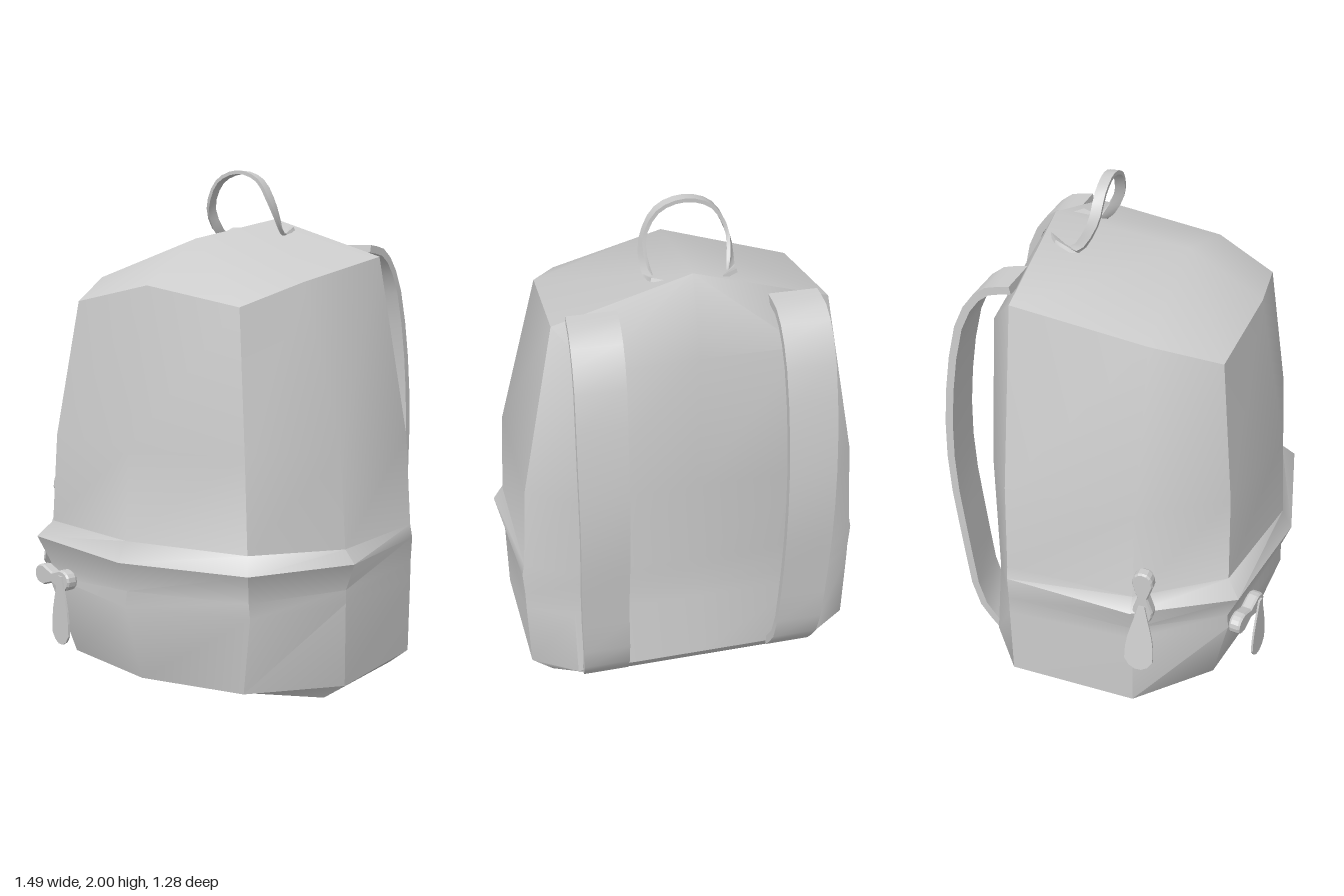
import * as THREE from 'three';
import { toCreasedNormals } from 'three/addons/utils/BufferGeometryUtils.js';

const V = (x, y, z) => new THREE.Vector3(x, y, z);
const material = new THREE.MeshStandardMaterial({ color: 0xcccccc, side: THREE.DoubleSide });
const CENTRE = 0.02; // the bag body sits slightly to its own left

function mesh(name, geometry) {
  const m = new THREE.Mesh(geometry, material);
  m.name = name;
  return m;
}

// Collects triangles from quads and skips collapsed ones
function quadBuilder() {
  const pos = [];
  const tri = (a, b, c) => {
    const area = b.clone().sub(a).cross(c.clone().sub(a)).length();
    if (area > 1e-7) for (const p of [a, b, c]) pos.push(p.x, p.y, p.z);
  };
  return {
    quad(a, b, c, d) { tri(a, b, c); tri(a, c, d); },
    build(crease) {
      const g = new THREE.BufferGeometry();
      g.setAttribute('position', new THREE.Float32BufferAttribute(pos, 3));
      return toCreasedNormals(g, crease);
    }
  };
}

// Edge lines of one half, bottom to top, lofted from front centre round to back centre
function bodyGeometry() {
  const frontCentre = [[0.045, 0.34], [0.085, 0.51], [0.38, 0.6], [0.44, 0.59],
    [0.555, 0.635], [0.63, 0.595], [0.97, 0.575], [1.56, 0.465]].map(([y, z]) => V(0, y, z));
  const frontCorner = [[0.36, 0.05, 0.32], [0.42, 0.09, 0.43], [0.5, 0.4, 0.5], [0.49, 0.455, 0.495],
    [0.52, 0.565, 0.54], [0.48, 0.625, 0.49], [0.46, 0.97, 0.48], [0.39, 1.49, 0.42]].map(p => V(...p));
  const sideMid = [[0.6, 0.045], [0.69, 0.11], [0.69, 0.42], [0.69, 0.47],
    [0.725, 0.57], [0.685, 0.62], [0.66, 0.97], [0.495, 1.575]].map(([x, y]) => V(x, y, 0.175));
  const sideBack = [[0.58, 0.045], [0.66, 0.11], [0.665, 0.4], [0.665, 0.47],
    [0.67, 0.57], [0.66, 0.62], [0.635, 0.97], [0.5, 1.66]].map(([x, y]) => V(x, y, -0.335));
  const backEdge = [[0.42, 0.06, -0.41], [0.49, 0.14, -0.47], [0.49, 0.42, -0.445], [0.49, 0.48, -0.44],
    [0.49, 0.57, -0.44], [0.49, 0.62, -0.44], [0.48, 0.97, -0.445], [0.38, 1.53, -0.45]].map(p => V(...p));
  const backCentre = backEdge.map(p => V(0, p.y, p.z));

  // Close each edge line onto the keel below and the roof ridge above
  const columns = [frontCentre, frontCorner, sideMid, sideBack, backEdge, backCentre].map((line, j) =>
    j < 3 ? [V(0, 0, 0.165), ...line, V(0, 1.73, 0.18)] : [V(0, 0, -0.34), ...line, V(0, 1.81, -0.34)]);

  const q = quadBuilder();
  const mir = p => V(-p.x, p.y, p.z);
  for (let j = 0; j < columns.length - 1; j++) {
    const [left, right] = [columns[j], columns[j + 1]];
    for (let i = 0; i < left.length - 1; i++) {
      const [a, b, c, d] = [left[i], right[i], right[i + 1], left[i + 1]];
      q.quad(a, b, c, d);
      q.quad(mir(b), mir(a), mir(d), mir(c));
    }
  }
  return q.build(0.7);
}

// Flat strap swept along a path; widthAt gives the full width vector
function ribbonGeometry(points, widthAt, thickness, steps) {
  const curve = new THREE.CatmullRomCurve3(points);
  const rings = [];
  for (let i = 0; i <= steps; i++) {
    const t = i / steps;
    const p = curve.getPoint(t);
    const w = widthAt(t).multiplyScalar(0.5);
    const n = curve.getTangent(t).cross(w).normalize().multiplyScalar(thickness / 2);
    rings.push([[-1, -1], [1, -1], [1, 1], [-1, 1]].map(([a, b]) =>
      p.clone().addScaledVector(w, a).addScaledVector(n, b)));
  }
  const q = quadBuilder();
  for (let i = 0; i < steps; i++) {
    for (let k = 0; k < 4; k++) {
      const l = (k + 1) % 4;
      q.quad(rings[i][k], rings[i][l], rings[i + 1][l], rings[i + 1][k]);
    }
  }
  const [s, e] = [rings[0], rings[steps]];
  q.quad(s[3], s[2], s[1], s[0]);
  q.quad(e[0], e[1], e[2], e[3]);
  return q.build(0.7);
}

// Bow-tie slider with a leaf-shaped pull tab
function zipPull(name, sliderAngle, tabX, tabY, tabTilt) {
  const group = new THREE.Group();
  group.name = name;

  const bow = new THREE.Shape();
  bow.moveTo(-0.11, 0);
  bow.quadraticCurveTo(-0.11, 0.035, -0.06, 0.035);
  bow.lineTo(0, 0.015);
  bow.lineTo(0.06, 0.035);
  bow.quadraticCurveTo(0.11, 0.035, 0.11, 0);
  bow.quadraticCurveTo(0.11, -0.035, 0.06, -0.035);
  bow.lineTo(0, -0.015);
  bow.lineTo(-0.06, -0.035);
  bow.quadraticCurveTo(-0.11, -0.035, -0.11, 0);
  const slider = mesh('zipSlider', new THREE.ExtrudeGeometry(bow, {
    depth: 0.03, bevelThickness: 0.008, bevelSize: 0.005, bevelSegments: 1, curveSegments: 4
  }));
  slider.position.z = -0.02;
  slider.rotation.z = sliderAngle;

  const leaf = new THREE.Shape();
  leaf.moveTo(-0.012, 0);
  leaf.bezierCurveTo(-0.03, -0.08, -0.06, -0.14, -0.055, -0.23);
  leaf.bezierCurveTo(-0.03, -0.285, 0.03, -0.285, 0.055, -0.23);
  leaf.bezierCurveTo(0.06, -0.14, 0.03, -0.08, 0.012, 0);
  const tab = mesh('zipTab', new THREE.ExtrudeGeometry(leaf, { depth: 0.008, bevelEnabled: false, curveSegments: 5 }));
  tab.position.set(tabX, tabY, 0.018);
  tab.rotation.x = tabTilt;
  group.add(slider, tab);
  return group;
}

export function createModel() {
  const model = new THREE.Group();
  model.name = 'backpack';

  const body = mesh('bagBody', bodyGeometry());
  body.position.x = CENTRE;
  model.add(body);

  // Shoulder straps, bowed outwards behind the back panel
  for (const side of [1, -1]) {
    const path = [
      [0.36, 1.69, -0.35], [0.365, 1.67, -0.45], [0.37, 1.56, -0.54], [0.38, 1.27, -0.605],
      [0.385, 0.93, -0.625], [0.39, 0.57, -0.59], [0.385, 0.26, -0.545], [0.38, 0.13, -0.46]
    ].map(([x, y, z]) => V(CENTRE + side * x, y, z));
    const name = side > 0 ? 'leftShoulderStrap' : 'rightShoulderStrap';
    model.add(mesh(name, ribbonGeometry(path, () => V(0.18, 0, 0), 0.03, 16)));
  }

  // Carry handle: an upright loop with feet turned back onto the roof
  const half = [[-0.125, 1.77, -0.3], [-0.15, 1.745, -0.21], [-0.155, 1.85, -0.135], [-0.1, 1.955, -0.12]];
  const loop = [
    ...half.map(p => V(...p)), V(0, 1.99, -0.12),
    ...half.toReversed().map(([x, y, z]) => V(-x, y, z))
  ];
  const foot = t => Math.max(0, Math.abs(t - 0.5) * 2 - 0.45) / 0.55;
  const handleWidth = t => V(Math.sign(t - 0.5) * 0.06 * foot(t), 0, 0.04);
  model.add(mesh('carryHandle', ribbonGeometry(loop, handleWidth, 0.014, 24)));

  // Pocket zip pull on the front
  const frontPull = zipPull('frontZipPull', 0, 0.07, 0.02, 0);
  frontPull.position.set(-0.39, 0.42, 0.555);
  frontPull.rotation.y = -0.2;
  model.add(frontPull);

  // Main zip pull on the right side, its tab hanging away from the bag
  const sidePull = zipPull('sideZipPull', Math.PI / 2, 0, -0.03, -0.17);
  sidePull.position.set(-0.675, 0.64, 0.22);
  sidePull.rotation.y = -Math.PI / 2;
  model.add(sidePull);

  return model;
}
